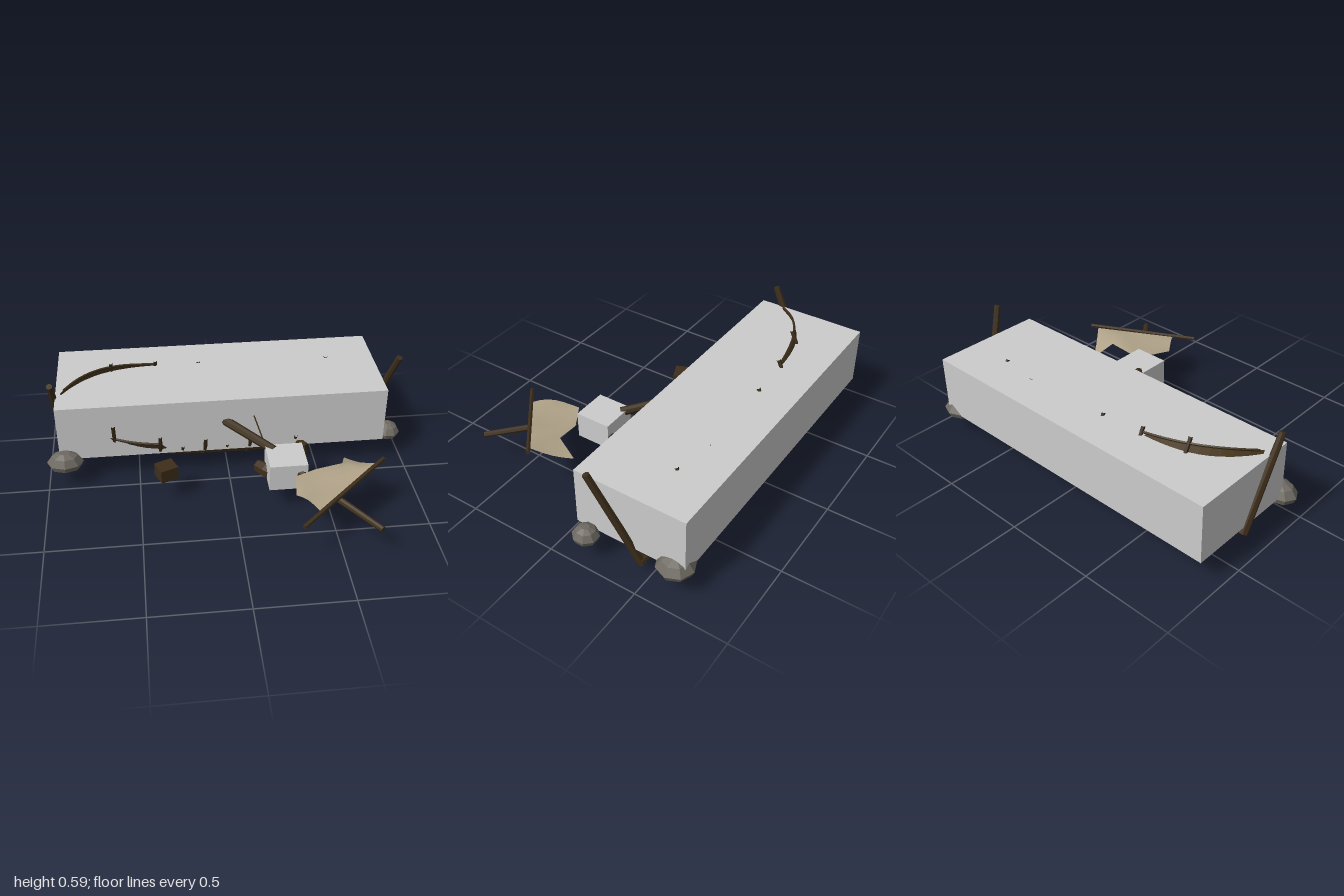
import * as THREE from 'three';

export function createModel() {
  const root = new THREE.Group();
  const mat = (name, color, opts = {}) => Object.assign(new THREE.MeshStandardMaterial({ color, ...opts }), { name });
  const block = mat('blockGrey', 0xcccccc);
  const plank = mat('plankBrown', 0x4c3a20, { side: THREE.DoubleSide });
  const timber = mat('darkTimber', 0x3d2e1a, { flatShading: true });
  const canvas = mat('canvas', 0xb0a288, { side: THREE.DoubleSide });
  const stone = mat('stone', 0x6e6a62, { flatShading: true });

  const V = (x, y, z) => new THREE.Vector3(x, y, z);
  const add = (name, geo, m, pos = [0, 0, 0]) => {
    const mesh = new THREE.Mesh(geo, m);
    mesh.name = name;
    mesh.position.set(...pos);
    root.add(mesh);
    return mesh;
  };
  // Tapered round log between two points
  const log = (name, a, b, r0, r1, sides = 7, m = timber) => {
    const p = V(...a), q = V(...b), d = q.clone().sub(p);
    const mesh = add(name, new THREE.CylinderGeometry(r1, r0, d.length(), sides), m);
    mesh.position.copy(p).add(q).multiplyScalar(0.5);
    mesh.quaternion.setFromUnitVectors(V(0, 1, 0), d.normalize());
    return mesh;
  };
  const tube = (name, pts, r, sides = 5, m = timber) =>
    add(name, new THREE.TubeGeometry(new THREE.CatmullRomCurve3(pts), pts.length * 3, r, sides), m);

  // Plain blocks
  add('largeBlock', new THREE.BoxGeometry(1.81, 0.325, 0.62), block, [-0.025, 0.2925, -0.39]);
  add('smallBlock', new THREE.BoxGeometry(0.2, 0.15, 0.2), block, [0.275, 0.205, 0.21]);

  // Hull lying on its side: s runs -1..1 along the keel, t runs 0 (keel) to 1 (bilge top) and above
  const roll = THREE.MathUtils.degToRad(25), C = Math.cos(roll), S = Math.sin(roll);
  const hull = (s, t, side, swell = 1) => {
    const a = Math.min(t, 1) * Math.PI / 2;
    const u = side * swell * 0.25 * (1 - Math.abs(s) ** (2 + 3 * Math.min(t, 1))) * Math.sin(a);
    const v = 0.28 * (1 - Math.cos(a)) + Math.max(t - 1, 0);
    return V(s * 0.885 - 0.015,
      0.02 + 0.055 * s * s - 0.025 * s - u * S + v * C,
      -0.42 - 0.03 * s + u * C + v * S);
  };
  // Broken rim height, as t, on the front (+1) and back (-1) sides
  const rim = (s, side) => side > 0
    ? (s > -0.8 && s < -0.38 ? 1.02 : 0.88)
    : (s < -0.4 ? 1.065 + 0.065 * s * s : 1.04);

  const N = 40, STRAKES = 6, pos = [];
  for (const side of [1, -1]) {
    for (let i = 0; i < N; i++) {
      const s0 = -1 + 2 * i / N, s1 = s0 + 2 / N;
      for (let j = 0; j < STRAKES; j++) {
        const f0 = j / STRAKES, f1 = (j + 1) / STRAKES;
        const a = hull(s0, f0 * rim(s0, side), side, 1.03), b = hull(s1, f0 * rim(s1, side), side, 1.03);
        const c = hull(s1, f1 * rim(s1, side), side), d = hull(s0, f1 * rim(s0, side), side);
        const q = side > 0 ? [a, b, c, a, c, d] : [a, c, b, a, d, c];
        q.forEach((p) => pos.push(p.x, p.y, p.z));
      }
    }
  }
  const hullGeo = new THREE.BufferGeometry();
  hullGeo.setAttribute('position', new THREE.Float32BufferAttribute(pos, 3));
  hullGeo.computeVertexNormals();
  add('hullPlanking', hullGeo, plank);

  // Keel and surviving rim rails
  const run = (s0, s1, n, f) => Array.from({ length: n + 1 }, (_, i) => f(s0 + (s1 - s0) * i / n));
  tube('keel', run(-1.01, 1.01, 10, (s) => hull(s, 0, 1)), 0.016, 6);
  tube('backRail', run(-0.985, -0.42, 8, (s) => hull(s, rim(s, -1), -1)), 0.007);
  tube('frontRail', run(-0.77, -0.41, 6, (s) => hull(s, 1.02, 1)), 0.008);

  // Ribs: position along the hull, then top height on the front and back sides
  const ribs = [[-0.69, 1.16, 1.13], [-0.41, 1.11, 1.105], [-0.13, 1.08, 1.09],
    [0.153, 1.06, 1.07], [0.445, 1.03, 1.083], [0.705, 0.95, 1.1]];
  for (const [s, front, back] of ribs) {
    for (const [side, top] of [[1, front], [-1, back]]) {
      tube('rib', run(0, top, 8, (t) => hull(s, t, side, 1.015)), 0.011);
    }
  }
  for (const s of [-0.27, 0.01]) tube('brokenRib', run(0.4, 1, 5, (t) => hull(s, t, 1)), 0.01);

  // End posts
  log('rightEndPost', [0.86, 0.03, -0.445], [0.97, 0.57, -0.23], 0.021, 0.018);
  log('leftEndPost', [-0.925, 0.09, -0.38], [-0.945, 0.56, -0.15], 0.026, 0.018);

  // Broken mast, yard and rope
  log('mastStump', [-0.03, 0.315, -0.11], [0.22, 0.265, 0.14], 0.026, 0.024, 8);
  log('mastTop', [0.32, 0.225, 0.28], [0.68, 0.16, 0.71], 0.021, 0.016, 8);
  log('yard', [0.285, 0.213, 0.71], [0.77, 0.291, 0.31], 0.012, 0.012, 6);
  log('rope', [0.14, 0.345, -0.09], [0.18, 0.27, 0.12], 0.004, 0.004, 5);

  // Torn sail draped from the yard
  const torn = [[0.285, 0.225, 0.48], [0.3, 0.25, 0.36], [0.42, 0.235, 0.29], [0.56, 0.255, 0.28], [0.6, 0.2, 0.16]];
  const sail = new THREE.PlaneGeometry(1, 1, 4, 4), sp = sail.attributes.position;
  for (let i = 0; i < sp.count; i++) {
    const k = i % 5, w = Math.floor(i / 5) / 4;
    const p = V(0.38, 0.228, 0.62).lerp(V(0.73, 0.28, 0.33), k / 4).lerp(V(...torn[k]), w);
    p.y += 0.018 * Math.sin(w * Math.PI) * Math.cos(k * 2.2);
    sp.setXYZ(i, p.x, p.y, p.z);
  }
  sail.computeVertexNormals();
  add('tornSail', sail, canvas);

  // Scattered cargo
  add('crate', new THREE.BoxGeometry(0.1, 0.075, 0.09), timber, [-0.355, 0.158, 0.12]).rotation.y = 0.4;
  const barrel = () => new THREE.LatheGeometry(
    [[0, -0.06], [0.033, -0.06], [0.04, 0], [0.033, 0.06], [0, 0.06]].map((p) => new THREE.Vector2(...p)), 6);
  add('standingBarrel', barrel(), timber, [0.38, 0.18, 0.06]).rotation.y = Math.PI / 6;
  add('fallenBarrel', barrel(), timber, [0.175, 0.16, 0.17]).rotation.set(Math.PI / 2, 0, -0.7);

  // Flat-bottomed rocks: centre x, z, half sizes x, z, height, turn
  const rocks = [[-0.9, -0.055, 0.1, 0.075, 0.09, 0], [0.93, -0.17, 0.068, 0.07, 0.075, 0.4], [0.85, -0.63, 0.1, 0.1, 0.09, 0.8]];
  for (const [x, z, rx, rz, h, turn] of rocks) {
    const g = new THREE.LatheGeometry(
      [[0, 0], [0.85, 0], [1, 0.35], [0.72, 0.8], [0.3, 1], [0, 1]].map((p) => new THREE.Vector2(...p)), 8);
    g.rotateY(turn).scale(rx, h, rz);
    add('rock', g, stone, [x, 0.102, z]);
  }
  return root;
}
